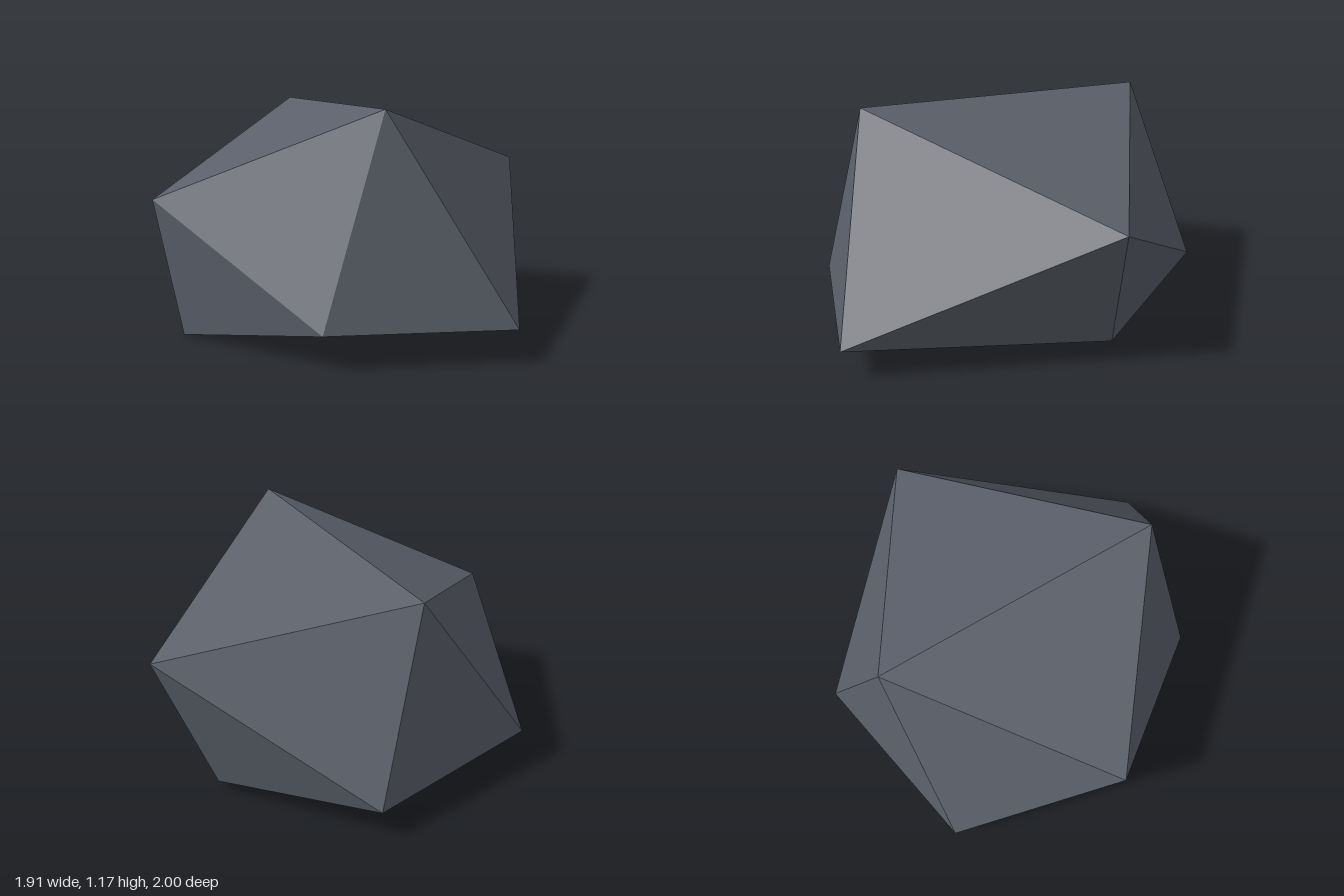
import * as THREE from 'three';

// Faceted boulder: a distorted icosahedron made of two poles and two rings of five
export function createModel() {
  const group = new THREE.Group();
  group.name = 'boulder';
  const slate = new THREE.MeshStandardMaterial({ color: 0x5a5f69 });
  slate.name = 'slate grey';

  const crown = [0.21, 1.17, 0.76];
  const base = [-0.37, 0.02, -0.44];
  const upper = [
    [-0.93, 0.69, 0.44], [-0.07, 0.17, 1.0], [0.83, 0.17, 0.88],
    [0.95, 0.78, -0.45], [-0.32, 1.1, -0.68],
  ];
  // lower[i] sits between upper[i] and upper[i + 1]
  const lower = [
    [-0.79, 0, 0.45], [0.22, 0.03, 0.45], [0.66, 0.06, -0.45],
    [-0.07, 0.17, -1.0], [-0.96, 0.17, -0.45],
  ];

  // Cap, two side facets and underside for each fifth; unshared corners keep facets flat
  const corners = [];
  for (let i = 0; i < 5; i++) {
    const n = (i + 1) % 5;
    corners.push(
      crown, upper[i], upper[n],
      upper[i], lower[i], upper[n],
      lower[i], lower[n], upper[n],
      base, lower[n], lower[i],
    );
  }
  const geometry = new THREE.BufferGeometry();
  geometry.setAttribute('position', new THREE.Float32BufferAttribute(corners.flat(), 3));
  geometry.computeVertexNormals();

  const rock = new THREE.Mesh(geometry, slate);
  rock.name = 'rock';
  group.add(rock);
  return group;
}
